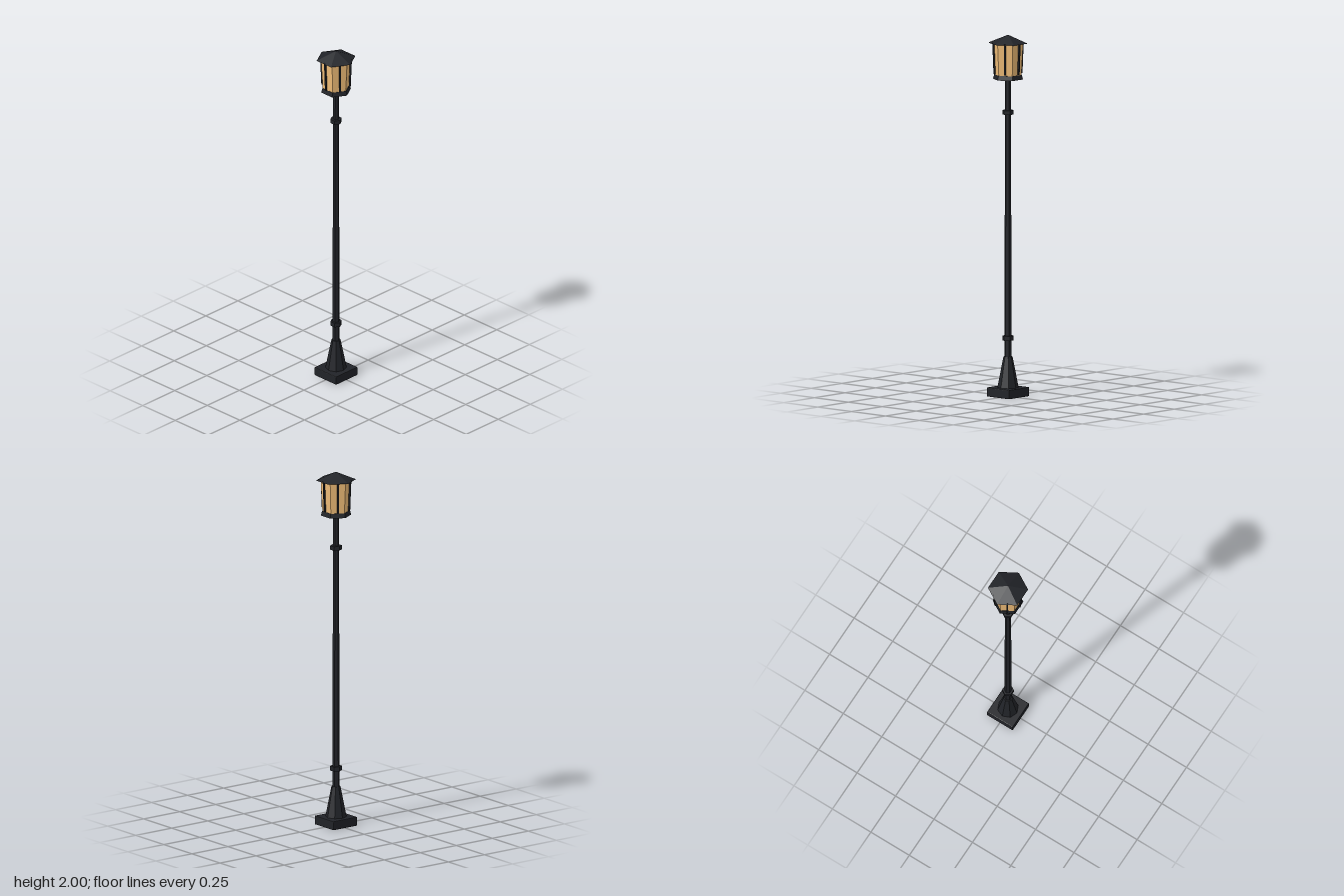
import * as THREE from 'three';
import { RoundedBoxGeometry } from 'three/addons/geometries/RoundedBoxGeometry.js';

const iron = new THREE.MeshStandardMaterial({ color: 0x212328, flatShading: true });
const amber = new THREE.MeshStandardMaterial({ color: 0xf0bd78, flatShading: true });

export function createModel() {
  const model = new THREE.Group();
  model.name = 'streetLamp';

  const add = (name, geometry, material = iron, parent = model) => {
    const mesh = new THREE.Mesh(geometry, material);
    mesh.name = name;
    parent.add(mesh);
    return mesh;
  };

  // Faceted frustum between two heights; the corners of six sides lie on the z axis
  const frustum = (name, y0, y1, r0, r1, sides = 6, material = iron, parent = model) => {
    const geometry = new THREE.CylinderGeometry(r1, r0, y1 - y0, sides);
    geometry.translate(0, (y0 + y1) / 2, 0);
    return add(name, geometry, material, parent);
  };

  // Square plinth with softened edges and a tapered foot
  add('plinth', new RoundedBoxGeometry(0.167, 0.05, 0.167, 1, 0.004).translate(0, 0.025, 0));
  frustum('foot', 0.05, 0.22, 0.058, 0.025, 8);

  // Slender post with two collars
  frustum('post', 0.2, 1.765, 0.0205, 0.016);
  frustum('lowerCollar', 0.31, 0.335, 0.032, 0.032);
  frustum('upperCollar', 1.56, 1.583, 0.032, 0.032);

  // Lantern: flared tray, glass and a low pointed roof
  const lantern = new THREE.Group();
  lantern.name = 'lantern';
  model.add(lantern);
  frustum('tray', 1.755, 1.78, 0.084, 0.077, 6, iron, lantern);
  frustum('glass', 1.778, 1.958, 0.075, 0.085, 6, amber, lantern);
  frustum('roof', 1.954, 2, 0.11, 0, 6, iron, lantern);

  // Slim leaning bars standing in front of each pane
  const lean = Math.atan2(0.007, 0.17);
  for (let i = 0; i < 6; i++) {
    const bar = new THREE.Group();
    bar.name = 'bar' + (i + 1);
    bar.rotation.y = (i * Math.PI) / 3;
    lantern.add(bar);
    const rod = add('rod', new THREE.BoxGeometry(0.009, 0.172, 0.009), iron, bar);
    rod.position.set(0.081, 1.872, 0);
    rod.rotation.z = -lean;
  }
  return model;
}
